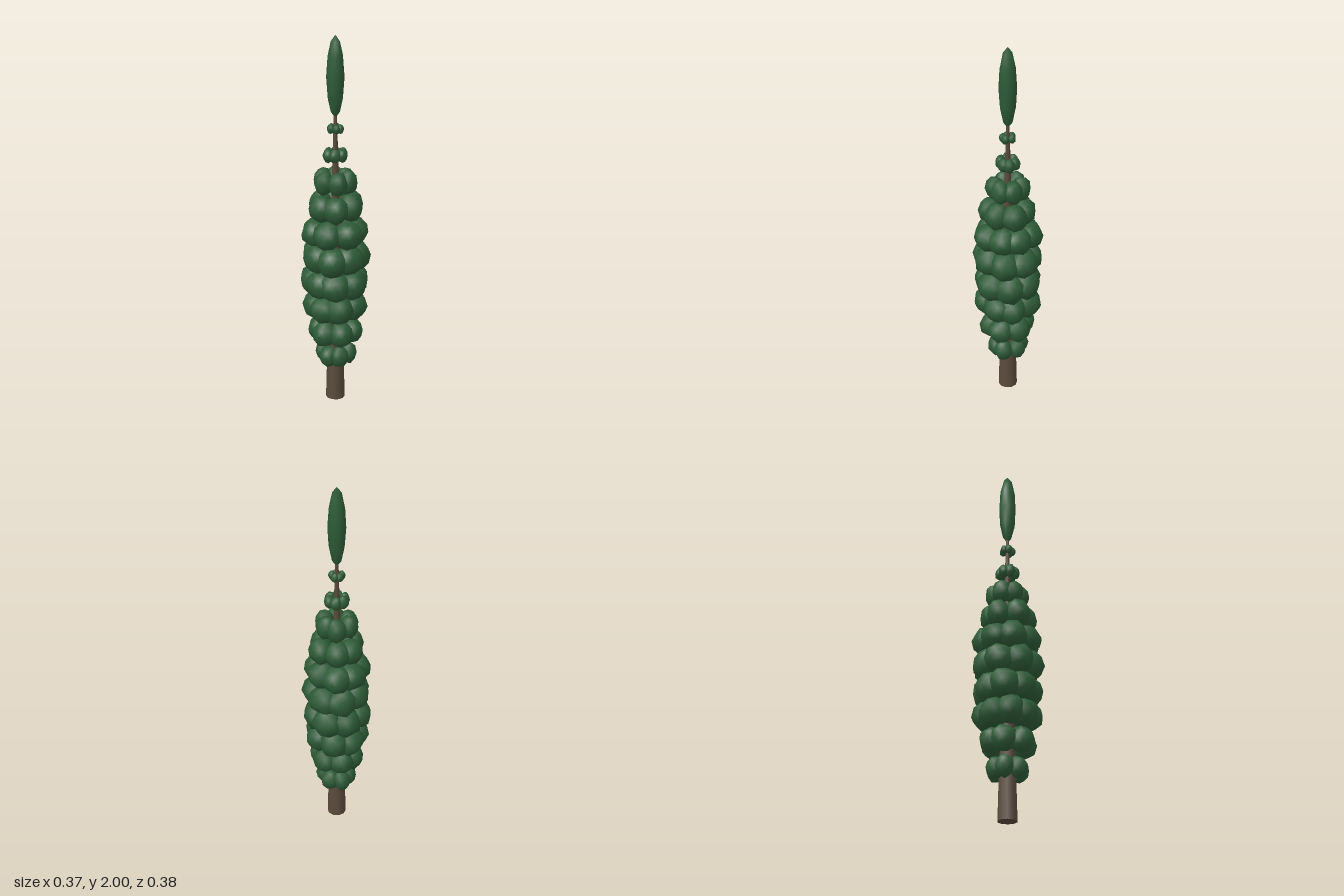
import * as THREE from 'three';
import { mergeVertices } from 'three/addons/utils/BufferGeometryUtils.js';

// Small seeded random generator
function seeded(seed) {
  let s = seed;
  return () => (s = (s * 16807) % 2147483647) / 2147483647;
}

// Smooth, slightly irregular low-poly blob of unit radius, standing on a vertex
function blobGeometry(rand, jitter) {
  let g = new THREE.IcosahedronGeometry(1, 1);
  g.deleteAttribute('normal');
  g.deleteAttribute('uv');
  g = mergeVertices(g, 1e-3);
  g.rotateZ(-Math.atan(2 / (1 + Math.sqrt(5))));
  const p = g.attributes.position;
  for (let i = 0; i < p.count; i++) {
    const k = 1 + (rand() - 0.5) * jitter;
    p.setXYZ(i, p.getX(i) * k, p.getY(i) * k, p.getZ(i) * k);
  }
  return g;
}

export function createModel() {
  const model = new THREE.Group();
  model.name = 'cypressTree';
  const bark = new THREE.MeshStandardMaterial({ color: 0x5a4a3c });
  bark.name = 'bark brown';
  const leaf = new THREE.MeshStandardMaterial({ color: 0x2d5a37 });
  leaf.name = 'foliage green';
  const rand = seeded(4711);

  // Trunk, tapering up into the tip
  const trunk = new THREE.Mesh(new THREE.CylinderGeometry(0.008, 0.052, 1.62, 10), bark);
  trunk.name = 'trunk';
  trunk.position.y = 0.81;
  model.add(trunk);

  // Foliage tiers: height, outer radius, half height, blob count
  const tiers = [
    [0.268, 0.112, 0.062, 6], [0.407, 0.15, 0.075, 6], [0.55, 0.175, 0.082, 7],
    [0.687, 0.185, 0.086, 7], [0.828, 0.185, 0.086, 7], [0.967, 0.178, 0.08, 7],
    [1.103, 0.15, 0.077, 6], [1.238, 0.115, 0.067, 6], [1.38, 0.067, 0.039, 6],
    [1.519, 0.044, 0.026, 5],
  ];
  tiers.forEach(([y, outer, halfHeight, count], t) => {
    const tier = new THREE.Group();
    tier.name = `foliageTier${t + 1}`;
    for (let i = 0; i < count; i++) {
      const a = ((i + (rand() - 0.5) * 0.25) / count) * Math.PI * 2 + t * 1.1;
      const size = outer * 0.43;
      const reach = outer * (0.59 + (rand() - 0.5) * 0.06);
      const g = blobGeometry(rand, 0.16);
      g.rotateY(rand() * Math.PI * 2);
      g.scale(size, halfHeight * 0.97, size * 1.06);
      g.rotateY(-a);
      g.computeVertexNormals();
      const blob = new THREE.Mesh(g, leaf);
      blob.name = 'foliageBlob';
      blob.position.set(Math.cos(a) * reach, y + (rand() - 0.5) * 0.1 * halfHeight, Math.sin(a) * reach);
      tier.add(blob);
    }
    model.add(tier);
  });

  // Long pointed crown
  const tipGeometry = blobGeometry(rand, 0);
  tipGeometry.scale(0.047, 0.213, 0.047);
  tipGeometry.computeVertexNormals();
  const tip = new THREE.Mesh(tipGeometry, leaf);
  tip.name = 'crownTip';
  tip.position.y = 1.787;
  model.add(tip);

  return model;
}
